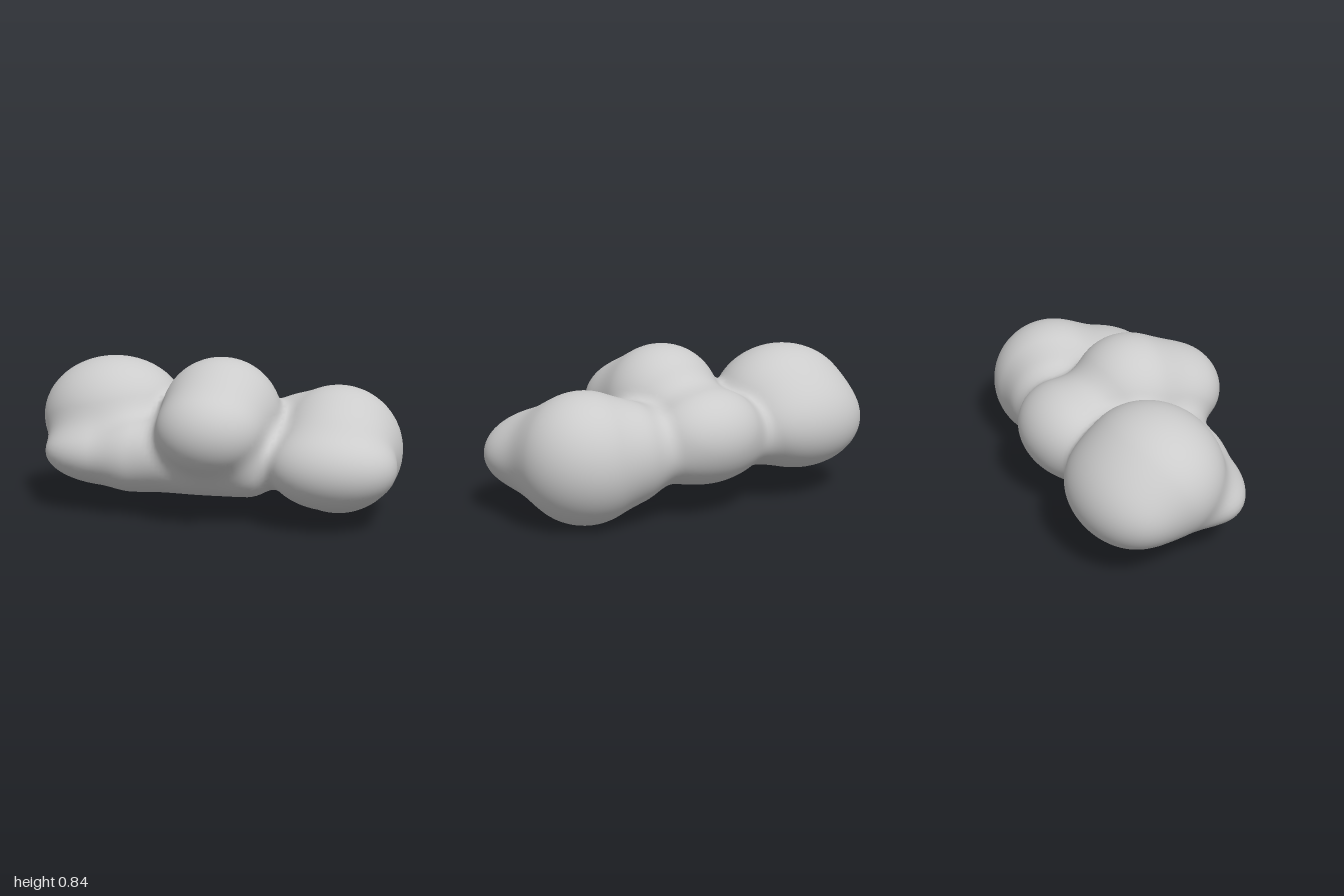
import * as THREE from 'three';

// Signed distance to an ellipsoid
function ellipsoid(cx, cy, cz, rx, ry, rz) {
  return (x, y, z) => {
    const dx = x - cx, dy = y - cy, dz = z - cz;
    const k0 = Math.hypot(dx / rx, dy / ry, dz / rz);
    const k1 = Math.hypot(dx / rx ** 2, dy / ry ** 2, dz / rz ** 2);
    return k1 < 1e-6 ? -Math.min(rx, ry, rz) : k0 * (k0 - 1) / k1;
  };
}
const ball = (x, y, z, r) => ellipsoid(x, y, z, r, r, r);

// Signed distance to a round-ended bar
function capsule(a, b, r) {
  const line = new THREE.Line3(new THREE.Vector3(...a), new THREE.Vector3(...b));
  const p = new THREE.Vector3(), q = new THREE.Vector3();
  return (x, y, z) => {
    line.closestPointToPoint(p.set(x, y, z), true, q);
    return p.distanceTo(q) - r;
  };
}

// Soft union of several fields
function blend(k, ...fields) {
  return (x, y, z) => fields.map(f => f(x, y, z)).reduce((a, b) => {
    const h = Math.max(k - Math.abs(a - b), 0) / k;
    return Math.min(a, b) - h * h * k / 4;
  });
}

// Surface nets: one vertex per crossed cell, one quad per crossed edge
function surface(field, lo, size, step) {
  const n = size.map(s => Math.ceil(s / step) + 1);
  const stride = [1, n[0], n[0] * n[1]];
  const at = (i, j, k) => i + j * stride[1] + k * stride[2];
  const value = new Float32Array(n[0] * n[1] * n[2]);
  const each = (from, less, fn) => {
    for (let k = from; k < n[2] - less; k++)
      for (let j = from; j < n[1] - less; j++)
        for (let i = from; i < n[0] - less; i++) fn(i, j, k);
  };
  each(0, 0, (i, j, k) => {
    value[at(i, j, k)] = field(lo[0] + i * step, lo[1] + j * step, lo[2] + k * step);
  });

  const gradient = p => {
    const e = 0.004, [x, y, z] = p;
    return new THREE.Vector3(
      field(x + e, y, z) - field(x - e, y, z),
      field(x, y + e, z) - field(x, y - e, z),
      field(x, y, z + e) - field(x, y, z - e)).divideScalar(2 * e);
  };

  const cell = new Map(), positions = [], normals = [], index = [];
  each(0, 1, (i, j, k) => {
    const id = at(i, j, k), sum = [0, 0, 0];
    let count = 0;
    for (let a = 0; a < 3; a++) {
      const b = (a + 1) % 3, c = (a + 2) % 3;
      for (let m = 0; m < 4; m++) {
        const o = [0, 0, 0];
        o[b] = m & 1;
        o[c] = m >> 1;
        const start = at(i + o[0], j + o[1], k + o[2]);
        const v0 = value[start], v1 = value[start + stride[a]];
        if ((v0 < 0) === (v1 < 0)) continue;
        o[a] = v0 / (v0 - v1);
        o.forEach((t, d) => { sum[d] += t; });
        count++;
      }
    }
    if (!count) return;
    const p = [i, j, k].map((g, d) => lo[d] + (g + sum[d] / count) * step);
    // Pull the vertex onto the exact surface
    for (let s = 0; s < 2; s++) {
      const g = gradient(p), f = field(...p) / Math.max(g.lengthSq(), 0.2);
      p[0] -= g.x * f;
      p[1] -= g.y * f;
      p[2] -= g.z * f;
    }
    cell.set(id, positions.length / 3);
    positions.push(...p);
    normals.push(...gradient(p).normalize().toArray());
  });
  each(1, 1, (i, j, k) => {
    const id = at(i, j, k);
    for (let a = 0; a < 3; a++) {
      const inside = value[id] < 0;
      if (inside === (value[id + stride[a]] < 0)) continue;
      const b = stride[(a + 1) % 3], c = stride[(a + 2) % 3];
      const q = [id - b - c, id - c, id, id - b].map(v => cell.get(v));
      if (!inside) q.reverse();
      index.push(q[0], q[1], q[2], q[0], q[2], q[3]);
    }
  });

  const geometry = new THREE.BufferGeometry();
  geometry.setAttribute('position', new THREE.Float32BufferAttribute(positions, 3));
  geometry.setAttribute('normal', new THREE.Float32BufferAttribute(normals, 3));
  geometry.setIndex(index);
  return geometry;
}

export function createModel() {
  // Large rounded lobe with a lower swelling toward the back
  const rightLobe = blend(0.1,
    ellipsoid(-0.6, 0.47, -0.17, 0.4, 0.333, 0.35),
    ellipsoid(-0.6, 0.4, -0.36, 0.36, 0.24, 0.243));

  // Domed centre with a puff in front and a broader one behind
  const middleLobe = blend(0.12,
    ellipsoid(0.04, 0.525, 0.09, 0.32, 0.314, 0.31),
    ellipsoid(0.025, 0.49, 0.352, 0.28, 0.23, 0.253),
    ellipsoid(0.04, 0.415, -0.28, 0.32, 0.245, 0.265));

  // Low sphere, fuller on its inner back side, melting into a flattened front puff
  const leftLobe = blend(0.2,
    blend(0.04, ball(0.65, 0.343, -0.045, 0.343), ball(0.48, 0.355, -0.125, 0.275)),
    ellipsoid(0.65, 0.315, 0.335, 0.325, 0.21, 0.247));

  // Shallow underside: corner swelling, front bar and a broad belly
  const base = blend(0.1,
    ellipsoid(-0.53, 0.31, 0.08, 0.4, 0.18, 0.25),
    capsule([-0.4, 0.315, 0.18], [0.2, 0.315, 0.26], 0.18),
    ellipsoid(-0.02, 0.335, -0.04, 0.57, 0.203, 0.42));

  const field = blend(0.08, blend(0.1, rightLobe, base), middleLobe, leftLobe);
  const geometry = surface(field, [-1.1, -0.1, -0.75], [2.2, 1.05, 1.5], 0.025);

  const body = new THREE.Mesh(geometry, new THREE.MeshStandardMaterial({ color: 0xcccccc }));
  body.name = 'lobedBody';
  const group = new THREE.Group();
  group.name = 'softBlob';
  group.add(body);
  return group;
}
